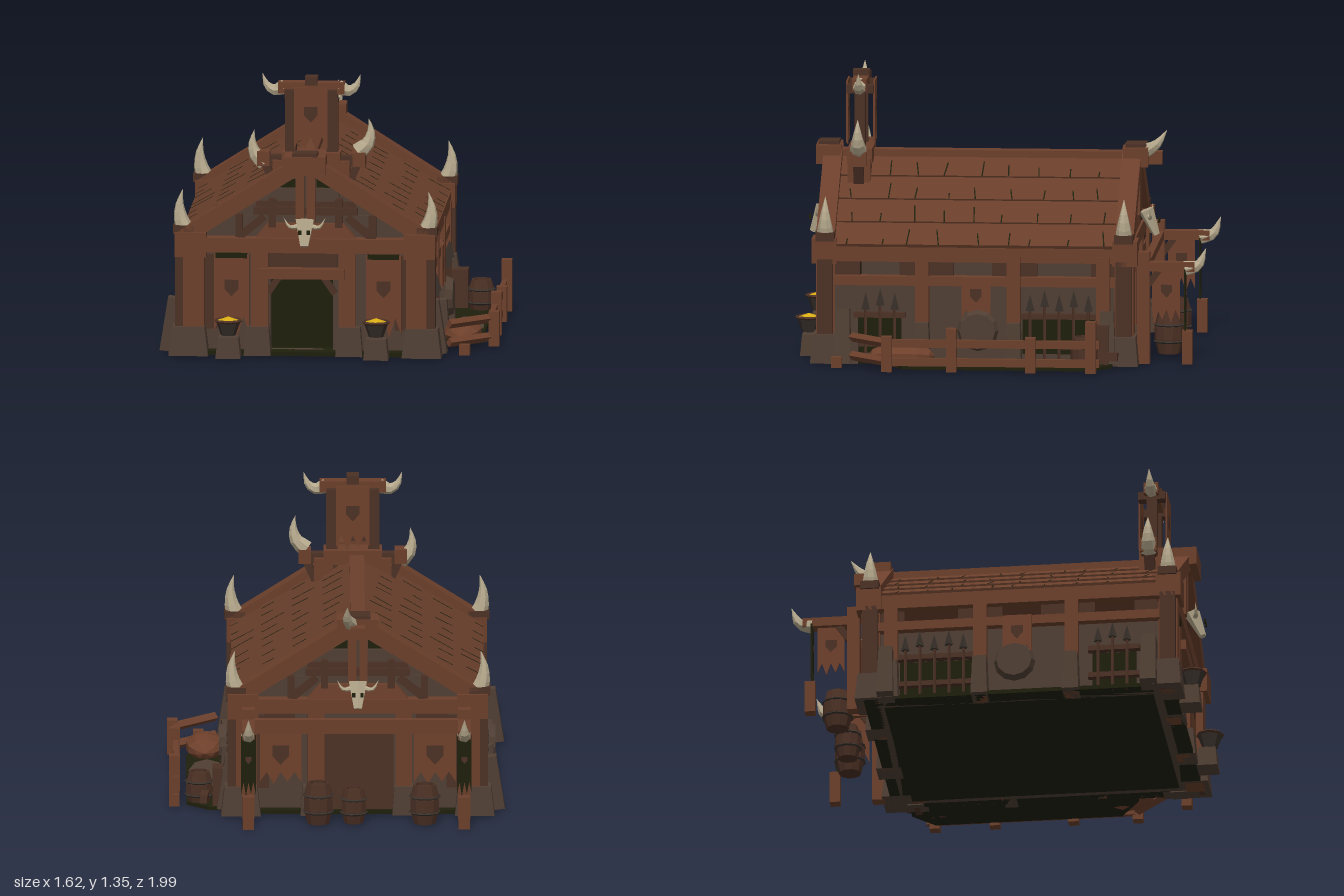
import * as THREE from 'three';

const mat = (name, color, side = THREE.FrontSide) => {
  const m = new THREE.MeshStandardMaterial({ color, side });
  m.name = name;
  return m;
};

export function createModel() {
  const wood = mat('wood', 0x6b3f2b), roofWood = mat('roof planks', 0x683e2b), darkWood = mat('dark wood', 0x4b3024);
  const stone = mat('stone', 0x4f3e33), bone = mat('bone', 0xb5a88c, THREE.DoubleSide), fire = mat('fire', 0xd8ac14);
  const shadow = mat('dark earth', 0x1f1f0d, THREE.DoubleSide), cloth = mat('cloth', 0x6e402b), iron = mat('iron', 0x38302a);
  const model = new THREE.Group(), hall = new THREE.Group();
  hall.name = 'hall';
  hall.position.x = -0.11;
  model.add(hall);

  let seed = 7;
  const rand = () => (seed = (seed * 16807) % 2147483647) / 2147483647;

  // Helpers
  const add = (parent, name, geo, m, x = 0, y = 0, z = 0) => {
    const g = geo.index ? geo.toNonIndexed() : geo;
    g.computeVertexNormals();
    const mesh = new THREE.Mesh(g, m);
    mesh.name = name;
    mesh.position.set(x, y, z);
    parent.add(mesh);
    return mesh;
  };
  const outline = pts => new THREE.Shape(pts.map(p => new THREE.Vector2(...p)));
  const box = (parent, name, m, w, h, d, x, y, z) => add(parent, name, new THREE.BoxGeometry(w, h, d), m, x, y, z);
  const beam = (parent, name, m, a, b, w, d) => {
    const p = new THREE.Vector3(...a), q = new THREE.Vector3(...b);
    const mesh = box(parent, name, m, w, p.distanceTo(q), d, 0, 0, 0);
    mesh.position.copy(p).add(q).multiplyScalar(0.5);
    mesh.quaternion.setFromUnitVectors(new THREE.Vector3(0, 1, 0), q.sub(p).normalize());
    return mesh;
  };
  const footing = (parent, w, h, d, x, z) => {
    const g = new THREE.CylinderGeometry(0.58, 0.7071, 1, 4).rotateY(Math.PI / 4).scale(w, h, d);
    return add(parent, 'stone footing', g, stone, x, h / 2, z);
  };
  const horn = (parent, r, ...pts) => {
    const curve = new THREE.CatmullRomCurve3(pts.map(p => new THREE.Vector3(...p)));
    const g = new THREE.TubeGeometry(curve, 6, r, 7), pos = g.attributes.position, v = new THREE.Vector3();
    for (let i = 0; i < pos.count; i++) {
      const t = Math.floor(i / 8) / 6, c = curve.getPointAt(t);
      v.fromBufferAttribute(pos, i).sub(c).multiplyScalar(Math.max(0.02, 1 - t ** 1.4)).add(c);
      pos.setXYZ(i, v.x, v.y, v.z);
    }
    add(parent, 'horn', g, bone);
  };
  // Ragged hanging cloth with a plain dark patch on both faces
  const banner = (parent, w, h, x, top, z, ry = 0, m = cloth) => {
    const s = new THREE.Shape().moveTo(-w / 2, 0).lineTo(-w / 2, -h);
    for (let i = 1; i <= 6; i++) s.lineTo(-w / 2 + i * w / 6, -h + (i % 2 ? 0.2 : i === 4 ? -0.05 : 0) * h);
    s.lineTo(w / 2, 0);
    const group = new THREE.Group();
    group.name = 'banner';
    group.position.set(x, top, z);
    group.rotation.y = ry;
    parent.add(group);
    add(group, 'banner cloth', new THREE.ExtrudeGeometry(s, { depth: 0.008, bevelEnabled: false }), m, 0, 0, -0.004);
    const a = w * 0.2, patch = outline([[-a, a], [-a, -a * 0.3], [0, -a * 1.4], [a, -a * 0.3], [a, a]]);
    add(group, 'banner patch', new THREE.ExtrudeGeometry(patch, { depth: 0.012, bevelEnabled: false }), darkWood, 0, -h * 0.42, -0.006);
  };
  const barrel = (x, z, r, h) => {
    const pts = [[0, 0], [0.75, 0], [1, 0.35], [1, 0.65], [0.75, 1], [0.62, 1], [0.62, 0.93], [0, 0.93]];
    add(model, 'barrel', new THREE.LatheGeometry(pts.map(p => new THREE.Vector2(p[0] * r, p[1] * h)), 10), darkWood, x, 0, z);
    for (const t of [0.3, 0.7]) add(model, 'barrel hoop', new THREE.TorusGeometry(r * 0.98, 0.007, 4, 10).rotateX(Math.PI / 2), iron, x, h * t, z);
  };

  // Floor and end walls with gables
  box(hall, 'floor', shadow, 1.26, 0.02, 1.5, 0, 0.01, 0.12);
  for (const [z, door] of [[0.76, true], [-0.58, false]]) {
    const s = outline([[-0.56, 0], [0.56, 0], [0.56, 0.55], [0, 0.9], [-0.56, 0.55]]);
    if (door) s.holes.push(outline([[-0.17, 0.02], [-0.17, 0.39], [0.13, 0.39], [0.13, 0.02]]));
    add(hall, 'end wall', new THREE.ExtrudeGeometry(s, { depth: 0.04, bevelEnabled: false }), stone, 0, 0, z);
  }
  box(hall, 'dark doorway', shadow, 0.34, 0.4, 0.01, -0.02, 0.21, 0.72);

  // Timber framing, horns and skull of both ends
  for (const end of [1, -1]) {
    const zc = end > 0 ? 0.835 : -0.6, zf = end > 0 ? 0.82 : -0.6, out = d => zf + end * d;
    box(hall, 'tie beam', wood, 1.2, 0.07, 0.07, 0, 0.535, zc);
    add(hall, 'gable board', new THREE.CylinderGeometry(0.26, 0.34, 0.07, 4).rotateY(Math.PI / 4).scale(1, 1, 0.1), wood, 0, 0.605, zf);
    box(hall, 'gable rail', darkWood, 0.5, 0.035, 0.05, 0, 0.7, zf);
    for (const s of [-1, 1]) {
      box(hall, 'corner post', wood, 0.1, 0.5, 0.09, s * 0.535, 0.25, zc);
      box(hall, 'corner post edge', darkWood, 0.06, 0.5, 0.075, s * 0.595, 0.25, zc);
      footing(hall, 0.19, 0.14, 0.14, s * 0.56, zc);
      box(hall, 'corner cap', wood, 0.15, 0.12, 0.12, s * 0.55, 0.54, zc + end * 0.005);
      box(hall, 'corner cap block', darkWood, 0.1, 0.04, 0.09, s * 0.585, 0.61, zc);
      horn(hall, 0.045, [s * 0.575, 0.59, zc], [s * 0.6, 0.66, zc], [s * 0.605, 0.73, zc], [s * 0.59, 0.8, zc]);
      beam(hall, 'rake beam', wood, [s * 0.6, 0.565, zc], [0, 0.945, zc], 0.075, 0.09);
      box(hall, 'king post', wood, 0.04, 0.27, 0.05, s * 0.027, 0.78, zf + end * 0.015);
      for (const [x, h] of [[0.16, 0.2], [0.32, 0.12]]) box(hall, 'gable stud', darkWood, 0.035, h, 0.04, s * x, 0.56 + h / 2, zf);
      beam(hall, 'gable brace', darkWood, [s * 0.32, 0.57, zf], [s * 0.2, 0.67, zf], 0.035, 0.05);
      for (let i = 0; i < 3; i++) box(hall, 'gable plank', i % 2 ? darkWood : stone, 0.3 - i * 0.08, 0.055, 0.02, s * (0.17 - i * 0.04), 0.65 + i * 0.065, zf - end * 0.015);
      box(hall, 'gable gap', shadow, 0.08, 0.04, 0.008, s * 0.09, 0.83, end > 0 ? 0.803 : -0.583);
      box(hall, 'inner post', wood, 0.08, 0.5, 0.07, s * 0.21 - 0.01, 0.25, zf);
      footing(hall, 0.13, 0.14, 0.12, s * 0.22 - 0.01, zf);
      horn(hall, 0.014, [s * 0.02, 0.64, out(0.08)], [s * 0.07, 0.635, out(0.09)], [s * 0.1, 0.68, out(0.09)]);
      box(hall, 'skull eye', shadow, 0.016, 0.02, 0.008, s * 0.02, 0.615, out(0.128));
      box(hall, 'wall plank', darkWood, 0.07, 0.36, 0.02, s * 0.46, 0.3, zf - end * 0.02);
      if (end > 0) banner(hall, 0.17, 0.38, s * 0.365 + 0.01, 0.49, 0.845);
      else banner(hall, 0.2, 0.24, s * 0.37, 0.4, -0.62);
      box(hall, 'banner rod', end > 0 ? shadow : darkWood, 0.15, 0.025, 0.03, s * 0.365 + 0.01, 0.485, end > 0 ? 0.85 : -0.62);
    }
    box(hall, 'ridge cap', wood, 0.2, 0.09, 0.12, 0, 0.93, zc + end * 0.02);
    box(hall, 'ridge cap block', darkWood, 0.12, 0.04, 0.1, 0, 0.97, zc + end * 0.02);
    // Skull: broad brow tapering to a muzzle
    const skull = add(hall, 'skull', new THREE.CylinderGeometry(0.05, 0.022, 0.13, 6).scale(1, 1, 0.75), bone, 0, 0.605, out(0.09));
    skull.rotation.x = -end * 0.4;
  }
  box(hall, 'door header', darkWood, 0.34, 0.09, 0.03, -0.02, 0.46, 0.81);
  beam(hall, 'door lintel', wood, [-0.23, 0.4, 0.85], [0.19, 0.4, 0.85], 0.05, 0.06);
  for (const s of [-1, 1]) beam(hall, 'door brace', darkWood, [s * 0.16 - 0.02, 0.3, 0.83], [s * 0.1 - 0.02, 0.39, 0.83], 0.03, 0.03);
  box(hall, 'back panel', darkWood, 0.34, 0.44, 0.02, 0, 0.24, -0.6);
  box(hall, 'back rail', wood, 1.08, 0.045, 0.04, 0, 0.42, -0.61);
  horn(hall, 0.035, [0.03, 0.95, -0.66], [0.05, 0.99, -0.72], [0.05, 1.06, -0.77]);

  // Long walls with open windows, posts, spears and shields
  for (const s of [-1, 1]) {
    box(hall, 'side wall', stone, 0.03, 0.4, 1.38, s * 0.55, 0.2, 0.11);
    box(hall, 'eave beam', wood, 0.07, 0.07, 1.4, s * 0.57, 0.525, 0.11);
    box(hall, 'window sill', wood, 0.06, 0.045, 1.38, s * 0.575, 0.397, 0.11);
    for (const [a, b] of [[0.67, 0.8], [0.22, 0.48], [-0.18, 0.035], [-0.58, -0.44]])
      box(hall, 'window panel', darkWood, 0.03, 0.1, b - a, s * 0.55, 0.45, (a + b) / 2);
    for (const z of [0.37, -0.07, -0.5]) {
      box(hall, 'wall post', wood, 0.07, 0.52, 0.065, s * 0.575, 0.26, z);
      footing(hall, 0.13, 0.2, 0.08, s * 0.595, z);
    }
    for (const z of [0.75, -0.52]) {
      const leg = footing(hall, 0.11, 0.26, 0.08, s < 0 ? -0.635 : 0.605, z);
      leg.rotation.z = s * 0.12;
    }
    for (const [zs, n] of [[0.5, 3], [-0.43, 5]]) {
      const w = n * 0.07;
      box(hall, 'rack backing', shadow, 0.008, 0.17, w, s * 0.567, 0.13, zs + w / 2 - 0.03);
      for (const y of [0.09, 0.23]) box(hall, 'spear rack', darkWood, 0.035, 0.025, w + 0.04, s * 0.585, y, zs + w / 2 - 0.03);
      for (let i = 0; i < n; i++) {
        const z = zs + i * 0.07, y = 0.27 + 0.02 * (i % 2);
        add(hall, 'spear shaft', new THREE.CylinderGeometry(0.008, 0.008, y, 5), darkWood, s * 0.61, y / 2, z);
        add(hall, 'spear head', new THREE.ConeGeometry(0.021, 0.08, 4), iron, s * 0.61, y + 0.03, z);
      }
    }
    add(hall, 'shield', new THREE.CylinderGeometry(0.085, 0.1, 0.035, 12).rotateZ(-s * Math.PI / 2), stone, s * 0.645, 0.165, 0.1);
    banner(hall, 0.14, 0.2, s * 0.61, 0.42, 0.11, s * Math.PI / 2);
  }

  // Roof: four overlapping plank courses on each slope
  const slopeAngle = Math.atan2(0.36, 0.585), course = 0.172;
  for (const turn of [0, Math.PI]) {
    const side = new THREE.Group(), slope = new THREE.Group();
    side.name = 'roof side';
    side.position.set(0, 0.925, 0.115);
    side.rotation.y = turn;
    slope.rotation.z = -slopeAngle;
    side.add(slope);
    hall.add(side);
    for (let i = 0; i < 4; i++) {
      const row = new THREE.Group();
      row.position.set(course * (i + 0.5), 0, 0);
      row.rotation.z = 0.05;
      slope.add(row);
      box(row, 'roof course', roofWood, 0.195, 0.026, 1.4, 0, 0, 0);
      for (let k = 0; k < 9; k++) {
        const len = 0.04 + rand() * 0.09;
        box(row, 'plank gap', shadow, len, 0.004, 0.006, 0.097 - len / 2, 0.0125, -0.62 + k * 0.15 + rand() * 0.06).rotation.y = rand() * 0.3 - 0.15;
      }
    }
  }
  box(hall, 'ridge beam', wood, 0.07, 0.06, 1.66, 0, 0.92, 0.085);

  // Banner tower astride the ridge
  const tower = new THREE.Group();
  tower.name = 'banner tower';
  tower.position.set(0.02, 0, 0.7);
  hall.add(tower);
  box(tower, 'tower base', wood, 0.28, 0.07, 0.12, 0, 0.935, 0);
  box(tower, 'tower cross beam', darkWood, 0.5, 0.05, 0.06, 0, 0.925, 0);
  box(tower, 'tower top beam', wood, 0.32, 0.055, 0.07, 0, 1.28, 0);
  box(tower, 'tower finial', darkWood, 0.06, 0.04, 0.08, 0, 1.315, 0);
  for (const s of [-1, 1]) {
    const lift = s < 0 ? -0.04 : 0.02;
    box(tower, 'tower post', darkWood, 0.055, 0.44, 0.05, s * 0.1, 1.08, 0);
    box(tower, 'tower bracket', darkWood, 0.05, 0.04, 0.13, s * 0.1, 1.255, 0);
    box(tower, 'tower skid', wood, 0.09, 0.14, 0.11, s * 0.14, 0.86, 0);
    beam(tower, 'tower strut', darkWood, [s * 0.17, 0.79, 0], [s * 0.24, 0.95, 0], 0.035, 0.05);
    box(tower, 'cross beam end', wood, 0.06, 0.07, 0.08, s * 0.23, 0.935, 0);
    horn(tower, 0.042, [s * 0.225, 0.95 + lift, 0], [s * 0.27, 0.99 + lift, 0], [s * 0.285, 1.05 + lift, 0], [s * 0.275, 1.11 + lift, 0]);
    horn(tower, 0.036, [s * 0.13, 1.28, 0], [s * 0.18, 1.265, 0], [s * 0.215, 1.29, 0], [s * 0.235, 1.345, 0]);
    banner(tower, 0.16, 0.3, 0, 1.29, s * 0.065);
  }

  // Braziers by the entrance
  for (const x of [-0.475, 0.235]) {
    footing(model, 0.12, 0.1, 0.1, x, 0.92);
    add(model, 'brazier bowl', new THREE.CylinderGeometry(0.06, 0.035, 0.07, 8), iron, x, 0.145, 0.93);
    add(model, 'brazier rim', new THREE.TorusGeometry(0.061, 0.008, 4, 8).rotateX(Math.PI / 2), darkWood, x, 0.18, 0.93);
    add(model, 'brazier flame', new THREE.ConeGeometry(0.057, 0.02, 7), fire, x, 0.19, 0.93);
  }

  // Banner arms, short posts and barrels behind the hall
  for (const x of [-0.62, 0.415]) {
    box(model, 'arm post', wood, 0.06, 0.54, 0.06, x, 0.27, -0.69);
    box(model, 'banner arm', wood, 0.06, 0.045, 0.27, x, 0.47, -0.8);
    beam(model, 'arm brace', darkWood, [x, 0.35, -0.69], [x, 0.46, -0.77], 0.03, 0.03);
    horn(model, 0.036, [x, 0.46, -0.89], [x, 0.475, -0.95], [x, 0.56, -0.99]);
    banner(model, 0.13, 0.25, x, 0.46, -0.8, Math.PI / 2);
    banner(model, 0.07, 0.29, x, 0.46, -0.89, 0, shadow);
    box(model, 'short post', wood, 0.055, 0.16, 0.05, x, 0.08, -0.9);
  }
  box(model, 'back rail beam', wood, 1.0, 0.04, 0.035, -0.1, 0.47, -0.7);
  barrel(-0.43, -0.79, 0.072, 0.19);
  barrel(-0.09, -0.78, 0.062, 0.17);
  barrel(0.08, -0.79, 0.072, 0.2);

  // Fenced yard on the left side
  const yard = outline([[0.42, 0.55], [0.6, 0.55], [0.71, 0.45], [0.71, -0.45], [0.55, -0.55], [0.42, -0.55]]);
  add(model, 'yard ground', new THREE.ExtrudeGeometry(yard, { depth: 0.015, bevelEnabled: false }).rotateX(-Math.PI / 2), shadow);
  add(model, 'trodden path', new THREE.CylinderGeometry(0.09, 0.09, 0.005, 9).scale(1, 1, 2.8), stone, 0.61, 0.018, 0.08);
  for (const y of [0.045, 0.135]) {
    box(model, 'fence rail', wood, 0.025, 0.038, 1.02, 0.76, y, 0.01);
    beam(model, 'fence rail', wood, [0.77, y, 0.51], [0.57, y, 0.7], 0.035, 0.03);
  }
  for (const [x, z, h] of [[0.775, 0.52, 0.17], [0.765, 0.21, 0.21], [0.765, -0.17, 0.17], [0.77, -0.46, 0.25], [0.65, 0.77, 0.05]])
    box(model, 'fence post', wood, 0.05, h, 0.05, x, h / 2, z);
  add(model, 'sack', new THREE.SphereGeometry(1, 9, 6).rotateX(Math.PI / 2).scale(0.095, 0.06, 0.16), cloth, 0.62, 0.055, 0.46);
  barrel(0.65, -0.42, 0.065, 0.16);
  box(model, 'crate', darkWood, 0.09, 0.2, 0.1, 0.54, 0.1, -0.48);
  box(model, 'stone block', stone, 0.08, 0.12, 0.09, 0.5, 0.06, 0.72);
  beam(model, 'firewood', darkWood, [0.63, 0.06, -0.58], [0.62, 0.06, -0.46], 0.035, 0.04);
  return model;
}
